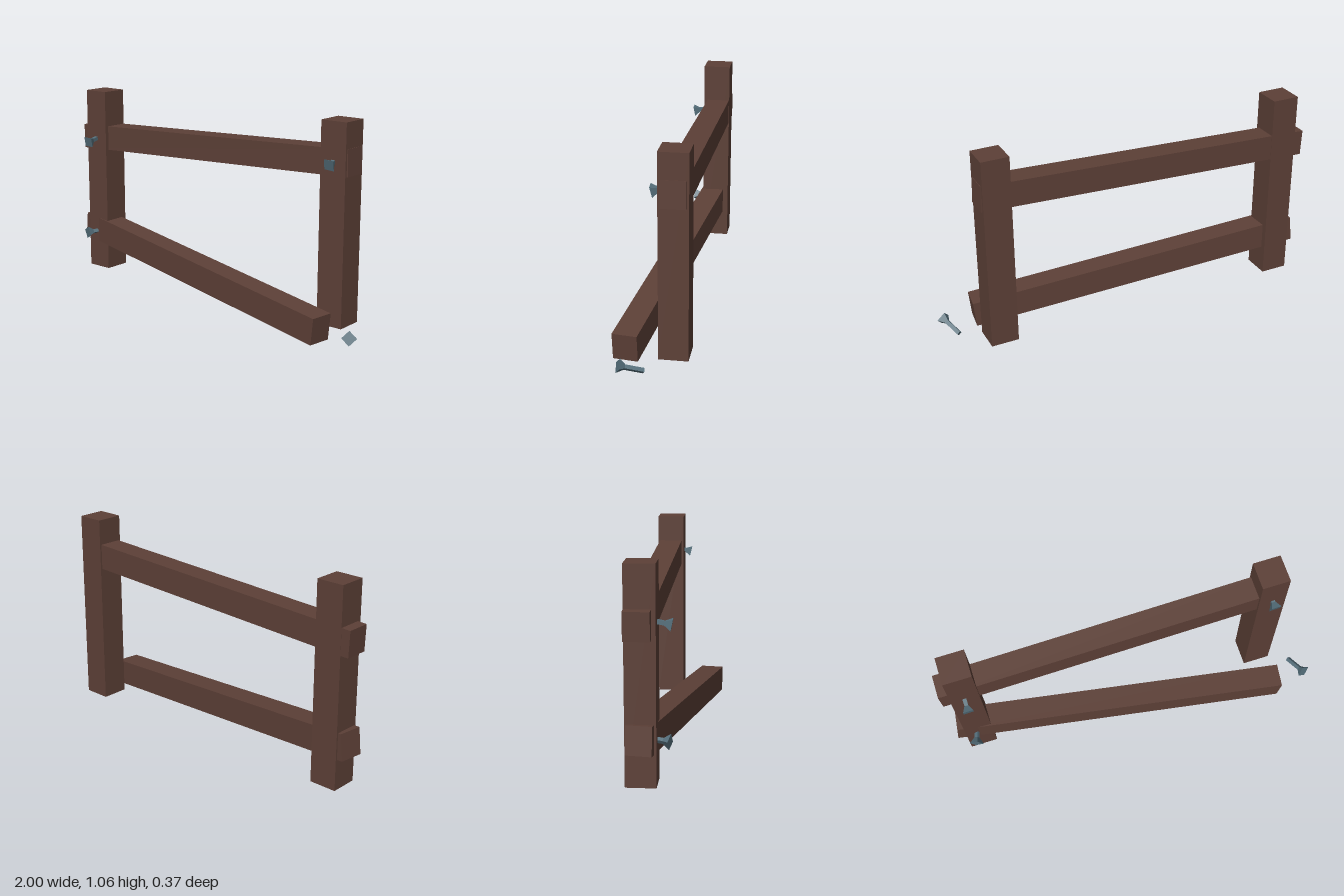
import * as THREE from 'three';

const wood = new THREE.MeshStandardMaterial({ color: 0x5d4037, flatShading: true });
const iron = new THREE.MeshStandardMaterial({ color: 0x546e7a, flatShading: true });

// Upright square post
function post(name, x) {
  const mesh = new THREE.Mesh(new THREE.BoxGeometry(0.145, 1.03, 0.145), wood);
  mesh.name = name;
  mesh.position.set(x, 0.546, -0.113);
  return mesh;
}

// Beam running from the centre of one end to the centre of the other
function rail(name, from, to, height, depth) {
  const a = new THREE.Vector3(...from), b = new THREE.Vector3(...to);
  const along = b.clone().sub(a);
  const mesh = new THREE.Mesh(new THREE.BoxGeometry(along.length(), height, depth), wood);
  along.normalize();
  const side = along.clone().cross(new THREE.Vector3(0, 1, 0)).normalize();
  const up = side.clone().cross(along);
  mesh.quaternion.setFromRotationMatrix(new THREE.Matrix4().makeBasis(along, up, side));
  mesh.position.copy(a).add(b).multiplyScalar(0.5);
  mesh.name = name;
  return mesh;
}

// Square nail with a flared head; `head` is the centre of the outer face
function nail(name, head, dir, roll) {
  const group = new THREE.Group();
  group.name = name;
  const corner = Math.SQRT1_2;
  const flare = new THREE.CylinderGeometry(0.053 * corner, 0.017 * corner, 0.036, 4).rotateY(Math.PI / 4);
  const stem = new THREE.CylinderGeometry(0.02 * corner, 0.02 * corner, 0.105, 4).rotateY(Math.PI / 4);
  const nailHead = new THREE.Mesh(flare.translate(0, -0.018, 0), iron);
  const shaft = new THREE.Mesh(stem.translate(0, -0.077, 0), iron);
  nailHead.name = 'nailHead';
  shaft.name = 'nailShaft';
  group.add(nailHead, shaft);
  group.position.set(...head);
  group.quaternion.setFromUnitVectors(new THREE.Vector3(0, 1, 0), new THREE.Vector3(...dir).normalize());
  group.rotateY(roll);
  return group;
}

export function createModel() {
  const model = new THREE.Group();
  model.name = 'brokenFence';

  model.add(post('rightPost', -0.878), post('leftPost', 0.737));

  // Upper rail still in place, lower rail fallen away from one post
  model.add(
    rail('upperRail', [-0.997, 0.789, -0.123], [0.815, 0.863, -0.113], 0.135, 0.123),
    rail('lowerRail', [-0.984, 0.265, -0.118], [0.8, 0.074, 0.122], 0.138, 0.125),
  );

  // Nails in the posts, and one lying loose beside the fallen rail
  model.add(
    nail('upperRightNail', [-0.88, 0.777, 0.025], [0.02, -0.2, 1], 0),
    nail('lowerRightNail', [-0.91, 0.24, 0.018], [-0.3, -0.05, 1], 0.25),
    nail('upperLeftNail', [0.74, 0.852, -0.002], [0.03, -0.25, 1], -0.05),
    nail('looseNail', [0.963, 0.066, 0.122], [0.048, 0.042, 0.115], -0.35),
  );
  return model;
}
